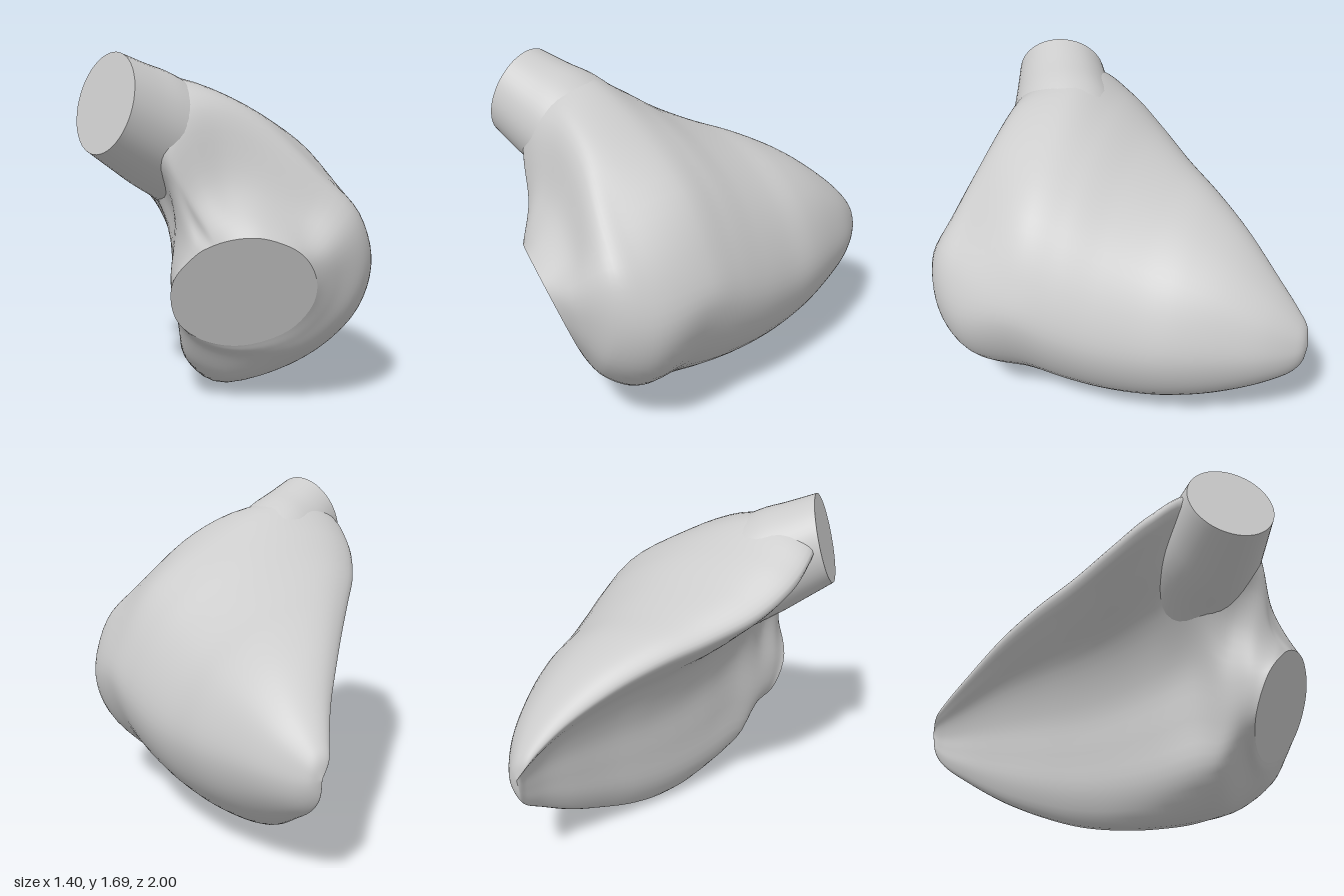
import * as THREE from 'three';

const V = (x, y, z) => new THREE.Vector3(x, y, z);
const material = new THREE.MeshStandardMaterial({ color: 0xcccccc, side: THREE.DoubleSide });

// Smooth skin through closed rings of control points, resampled both ways.
function loftRings(rings, along, around) {
  const guides = rings[0].map((_, k) => new THREE.CatmullRomCurve3(rings.map(r => r[k])));
  const out = [];
  for (let i = 0; i <= along; i++) {
    const loop = new THREE.CatmullRomCurve3(guides.map(g => g.getPoint(i / along)), true);
    out.push(Array.from({ length: around }, (_, j) => loop.getPoint(j / around)));
  }
  return out;
}

function geometryFrom(points, index) {
  const g = new THREE.BufferGeometry().setFromPoints(points);
  g.setIndex(index);
  g.computeVertexNormals();
  return g;
}

function skin(rings) {
  const n = rings[0].length, index = [];
  for (let i = 0; i < rings.length - 1; i++) {
    for (let j = 0; j < n; j++) {
      const a = i * n + j, b = i * n + (j + 1) % n;
      index.push(a, a + n, b, b, a + n, b + n);
    }
  }
  return geometryFrom(rings.flat(), index);
}

// Flat disc closing a ring
function disc(ring) {
  const n = ring.length, c = V(0, 0, 0), index = [];
  ring.forEach(p => c.addScaledVector(p, 1 / n));
  for (let j = 0; j < n; j++) index.push(n, (j + 1) % n, j);
  return geometryFrom([...ring, c], index);
}

function chamberRings() {
  // Crescent section inside its bounding box: ridge, outer wall, keel, hollow inner wall
  const section = [[0, .93], [.08, .985], [.26, 1], [.57, .94], [.82, .8], [.96, .61], [1, .44], [.92, .25],
    [.72, .08], [.5, 0], [.42, .1], [.4, .28], [.38, .48], [.28, .68], [.11, .82]];
  // z, then left, right, bottom and top of each section, then how far it shifts toward the inner wall
  const boxes = [
    [-1, .205, .205, .59, .59, 0], [-.98, .16, .26, .48, .68, 0], [-.93, .13, .31, .41, .75, 0],
    [-.8, .05, .4, .32, .88, 0], [-.6, -.1, .49, .2, 1.04, 0], [-.4, -.25, .56, .11, 1.15, 0],
    [-.2, -.4, .6, .04, 1.23, 0], [0, -.55, .64, .005, 1.33, 0], [.2, -.64, .67, 0, 1.46, .02],
    [.4, -.64, .69, .03, 1.57, .07]];
  const rings = boxes.map(([z, l, r, b, t, shift]) => section.map(([u, v], k) => V(
    l + (r - l) * (k > 9 && k < 14 ? u - shift : u),
    b + (t - b) * (k > 2 && k < 6 ? v - shift * .6 : v), z)));

  // Shoulder ring and front lip
  const shoulder = [[-.5, 1.3, .62], [-.42, 1.48, .62], [-.2, 1.52, .62], [.1, 1.4, .65], [.4, 1.14, .69],
    [.6, .92, .7], [.68, .67, .69], [.6, .42, .68], [.33, .18, .62], [.02, .1, .55], [-.19, .21, .51],
    [-.25, .42, .53], [-.28, .66, .55], [-.29, .95, .58], [-.36, 1.12, .62]].map(p => V(...p));
  const lip = [[-.38, 1.28, .74], [-.3, 1.4, .73], [-.12, 1.42, .71], [.1, 1.33, .73], [.36, 1.1, .81],
    [.52, .93, .86], [.57, .68, .86], [.48, .46, .85], [.28, .28, .77], [0, .25, .67], [-.18, .32, .63],
    [-.28, .45, .63], [-.32, .65, .66], [-.3, .88, .71], [-.33, 1.08, .74]].map(p => V(...p));

  // Tilted oval inlet rim and the neck leading to it, hollow above and full below
  const rim = lip.map(p => {
    const a = Math.atan2(p.y - .6, p.x + .03);
    const x = -.03 + .315 * Math.cos(a), y = .6 + .28 * Math.sin(a);
    return V(x, y, .84 + .34 * (x + .03) + .42 * (y - .6));
  });
  const neck = lip.map((p, k) => {
    const q = p.clone().lerp(rim[k], .6);
    q.z = p.z + (rim[k].z - p.z) * (p.y > 1 ? .4 : .72);
    return q;
  });
  return loftRings([...rings, shoulder, lip, neck, rim], 84, 72);
}

function outletRings() {
  const n = V(-1, .3, .34).normalize();
  const u = V(0, 1, 0).cross(n).normalize(), v = n.clone().cross(u);
  // Centre, depth radius and height radius of each ring, flaring into the chamber
  const stations = [[-.08, 1.08, .38, .28, .24], [-.23, 1.24, .43, .3, .275], [-.36, 1.325, .48, .285, .275],
    [-.48, 1.39, .54, .255, .255], [-.605, 1.46, .6, .228, .235]];
  const rings = stations.map(([x, y, z, ru, rv]) => Array.from({ length: 12 }, (_, k) => {
    const a = k / 12 * Math.PI * 2;
    return V(x, y, z).addScaledVector(u, ru * Math.cos(a)).addScaledVector(v, -rv * Math.sin(a));
  }));
  return loftRings(rings, 20, 48);
}

export function createModel() {
  const model = new THREE.Group();
  model.name = 'heartChamber';
  const add = (name, geometry) => {
    const mesh = new THREE.Mesh(geometry, material);
    mesh.name = name;
    model.add(mesh);
  };
  // Main chamber with its inlet
  const chamber = chamberRings();
  add('chamberWall', skin(chamber));
  add('inletCap', disc(chamber[chamber.length - 1]));
  // Outlet tube
  const outlet = outletRings();
  add('outletWall', skin(outlet));
  add('outletCap', disc(outlet[outlet.length - 1]));
  return model;
}
